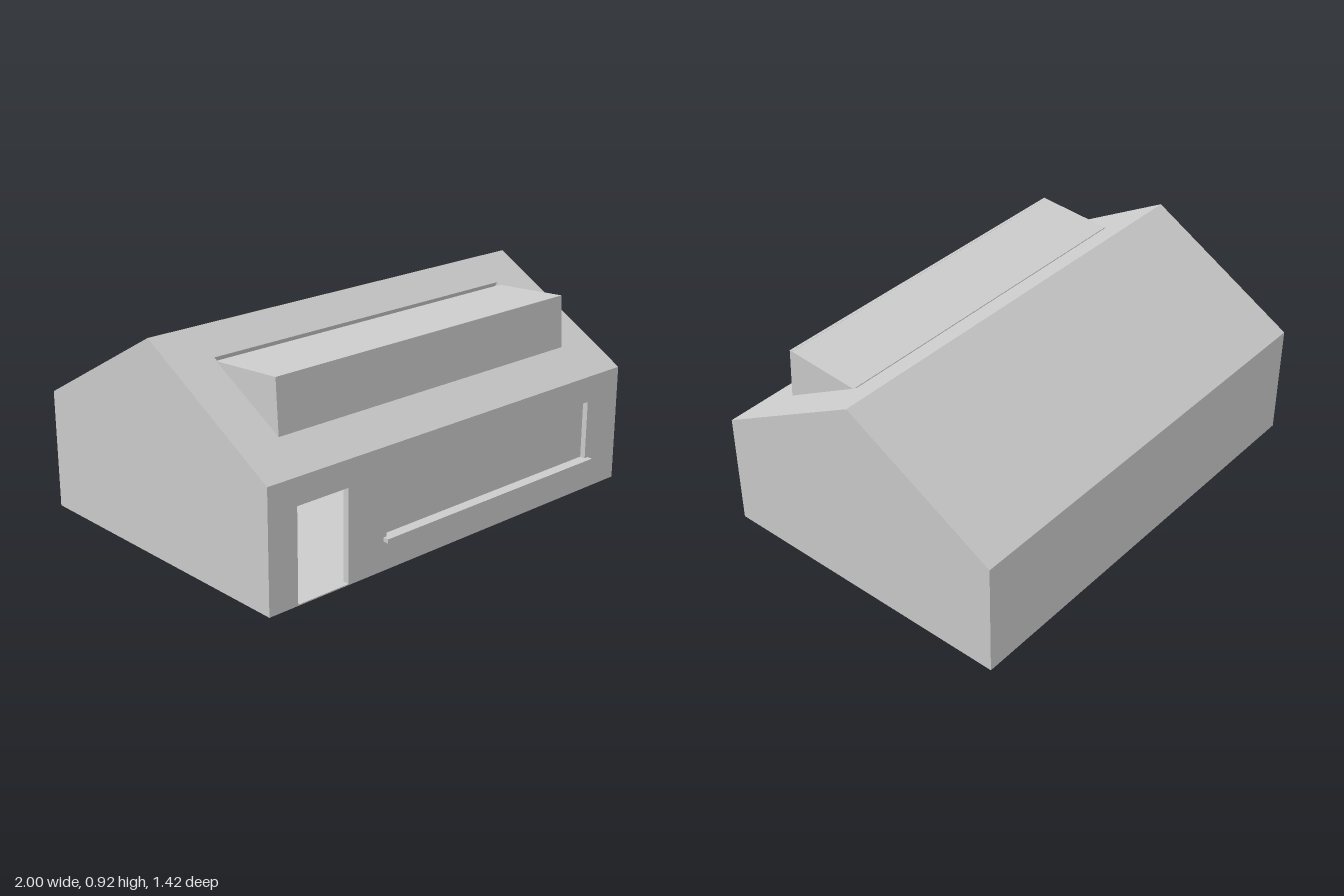
import * as THREE from 'three';

const material = new THREE.MeshStandardMaterial({ color: 0xcccccc, flatShading: true, side: THREE.DoubleSide });
const WALL = 0.03, INNER = 0.97;
const FRONT = 0.685, BACK = -0.71, EAVE = 0.52, RIDGE = 0.915;
const RIDGE_Z = (FRONT + BACK) / 2;

const points = (list) => list.map(([a, b]) => new THREE.Vector2(a, b));
const rect = (x0, y0, x1, y1) => points([[x0, y0], [x1, y0], [x1, y1], [x0, y1]]);

function add(parent, name, geometry, x = 0, y = 0, z = 0) {
  const mesh = new THREE.Mesh(geometry, material);
  mesh.name = name;
  mesh.position.set(x, y, z);
  parent.add(mesh);
  return mesh;
}

// Flat plate with optional holes, thickness along +z
function plate(outline, depth, holes = []) {
  const shape = new THREE.Shape(outline);
  for (const hole of holes) shape.holes.push(new THREE.Path(hole));
  return new THREE.ExtrudeGeometry(shape, { depth, bevelEnabled: false });
}

// Profile given as (z, y) pairs, extruded from x0 to x1
function addAcross(parent, name, profile, x0, x1) {
  const mesh = add(parent, name, plate(points(profile), x1 - x0), x1);
  mesh.rotation.y = -Math.PI / 2;
  return mesh;
}

export function createModel() {
  const house = new THREE.Group();
  house.name = 'house';

  // Floor and walls
  add(house, 'floor', new THREE.BoxGeometry(2 * INNER, 0.005, FRONT - BACK), 0, 0.0025, RIDGE_Z);
  const facade = points([
    [-INNER, 0], [-0.86, 0], [-0.86, 0.405], [-0.605, 0.405], [-0.605, 0],
    [INNER, 0], [INNER, EAVE], [-INNER, EAVE],
  ]);
  add(house, 'frontWall', plate(facade, WALL, [rect(-0.405, 0.14, 0.8, 0.405)]), 0, 0, FRONT - WALL);
  add(house, 'backWall', plate(rect(-INNER, 0, INNER, EAVE), WALL), 0, 0, BACK);
  const gable = [[FRONT, 0], [FRONT, EAVE], [RIDGE_Z, RIDGE], [BACK, EAVE], [BACK, 0]];
  addAcross(house, 'leftGable', gable, INNER, 1);
  addAcross(house, 'rightGable', gable, -1, -INNER);

  // Window pane and sill
  add(house, 'windowPane', new THREE.BoxGeometry(1.205, 0.265, 0.005), 0.1975, 0.2725, FRONT - 0.0275);
  add(house, 'windowSill', new THREE.BoxGeometry(1.24, 0.018, 0.055), 0.2, 0.134, 0.6825);

  // Roof slopes hinged at the ridge; the front one is open under the dormer
  const run = FRONT - RIDGE_Z, rise = RIDGE - EAVE;
  const pitch = Math.atan2(rise, run), length = Math.hypot(run, rise);
  const along = (z) => -(z - RIDGE_Z) / Math.cos(pitch);
  for (const side of ['front', 'back']) {
    const hinge = new THREE.Group();
    hinge.name = side + 'Roof';
    hinge.position.set(0, RIDGE, RIDGE_Z);
    hinge.rotation.y = side === 'back' ? Math.PI : 0;
    const holes = side === 'front' ? [rect(-0.8, along(0.51), 0.8, along(0.138))] : [];
    const slab = plate(rect(-INNER, -length, INNER, 0), WALL, holes);
    slab.translate(0, 0, -WALL);
    add(hinge, side + 'RoofSlab', slab).rotation.x = pitch - Math.PI / 2;
    house.add(hinge);
  }

  // Dormer: leaning front, shallow top and triangular cheeks
  const dormer = new THREE.Group();
  dormer.name = 'dormer';
  addAcross(dormer, 'dormerFront', [[0.52, 0.613], [0.507, 0.845], [0.495, 0.845], [0.505, 0.613]], -0.805, 0.805);
  addAcross(dormer, 'dormerTop', [[0.507, 0.845], [0.152, 0.82], [0.152, 0.81], [0.507, 0.832]], -0.805, 0.805);
  const cheek = [[0.52, 0.613], [0.507, 0.845], [0.152, 0.82]];
  addAcross(dormer, 'leftDormerCheek', cheek, 0.79, 0.805);
  addAcross(dormer, 'rightDormerCheek', cheek, -0.805, -0.79);
  house.add(dormer);

  return house;
}
